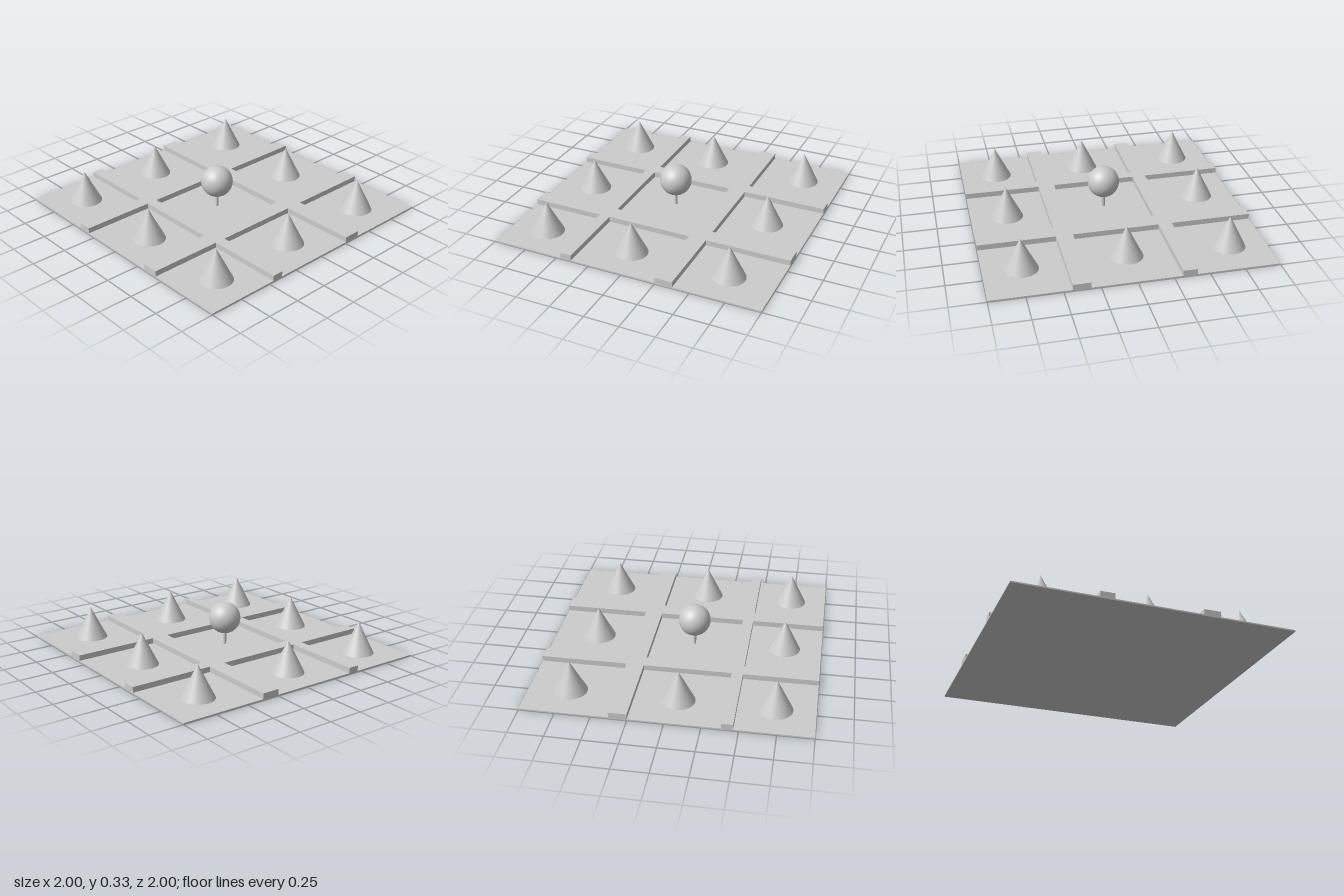
import * as THREE from 'three';

const BASE_TOP = 0.01;
const WALL_TOP = 0.05;

export function createModel() {
  const model = new THREE.Group();
  const material = new THREE.MeshStandardMaterial({ color: 0xcccccc });
  const add = (name, geometry, x, y, z) => {
    const mesh = new THREE.Mesh(geometry, material);
    mesh.name = name;
    mesh.position.set(x, y, z);
    model.add(mesh);
  };

  // Thin square base
  add('base', new THREE.BoxGeometry(2, BASE_TOP, 2), 0, BASE_TOP / 2, 0);

  // Raised lattice of two crossing pairs of walls, one solid with a central opening
  const [x0, x1, x2, x3] = [-0.41, -0.31, 0.318, 0.44];
  const [z0, z1, z2, z3] = [-0.377, -0.25, 0.384, 0.464];
  const points = (list) => list.map(([x, z]) => new THREE.Vector2(x, z));
  const lattice = new THREE.Shape(points([
    [x0, -1], [x1, -1], [x1, z0], [x2, z0], [x2, -1], [x3, -1], [x3, z0],
    [1, z0], [1, z1], [x3, z1], [x3, z2], [1, z2], [1, z3], [x3, z3],
    [x3, 1], [x2, 1], [x2, z3], [x1, z3], [x1, 1], [x0, 1], [x0, z3],
    [-1, z3], [-1, z2], [x0, z2], [x0, z1], [-1, z1], [-1, z0], [x0, z0],
  ]));
  lattice.holes.push(new THREE.Path(points([[x1, z1], [x1, z2], [x2, z2], [x2, z1]])));
  const walls = new THREE.ExtrudeGeometry(lattice, { depth: WALL_TOP - BASE_TOP, bevelEnabled: false });
  walls.rotateX(Math.PI / 2);
  add('gridWalls', walls, 0, WALL_TOP, 0);

  // One cone in each outer cell
  const coneHeight = 0.235;
  const cone = new THREE.ConeGeometry(0.117, coneHeight, 48);
  const cells = [
    [-0.73, -0.703], [0, -0.67], [0.73, -0.67],
    [-0.73, 0.056], [0.73, 0.056],
    [-0.73, 0.725], [0.03, 0.725], [0.73, 0.725],
  ];
  for (const [x, z] of cells) add('cone', cone, x, BASE_TOP + coneHeight / 2, z);

  // Ball on a thin post in the middle cell
  add('post', new THREE.CylinderGeometry(0.012, 0.012, 0.14, 24), 0, BASE_TOP + 0.07, 0.056);
  add('ball', new THREE.SphereGeometry(0.117, 48, 32), 0, 0.214, 0.056);

  return model;
}
